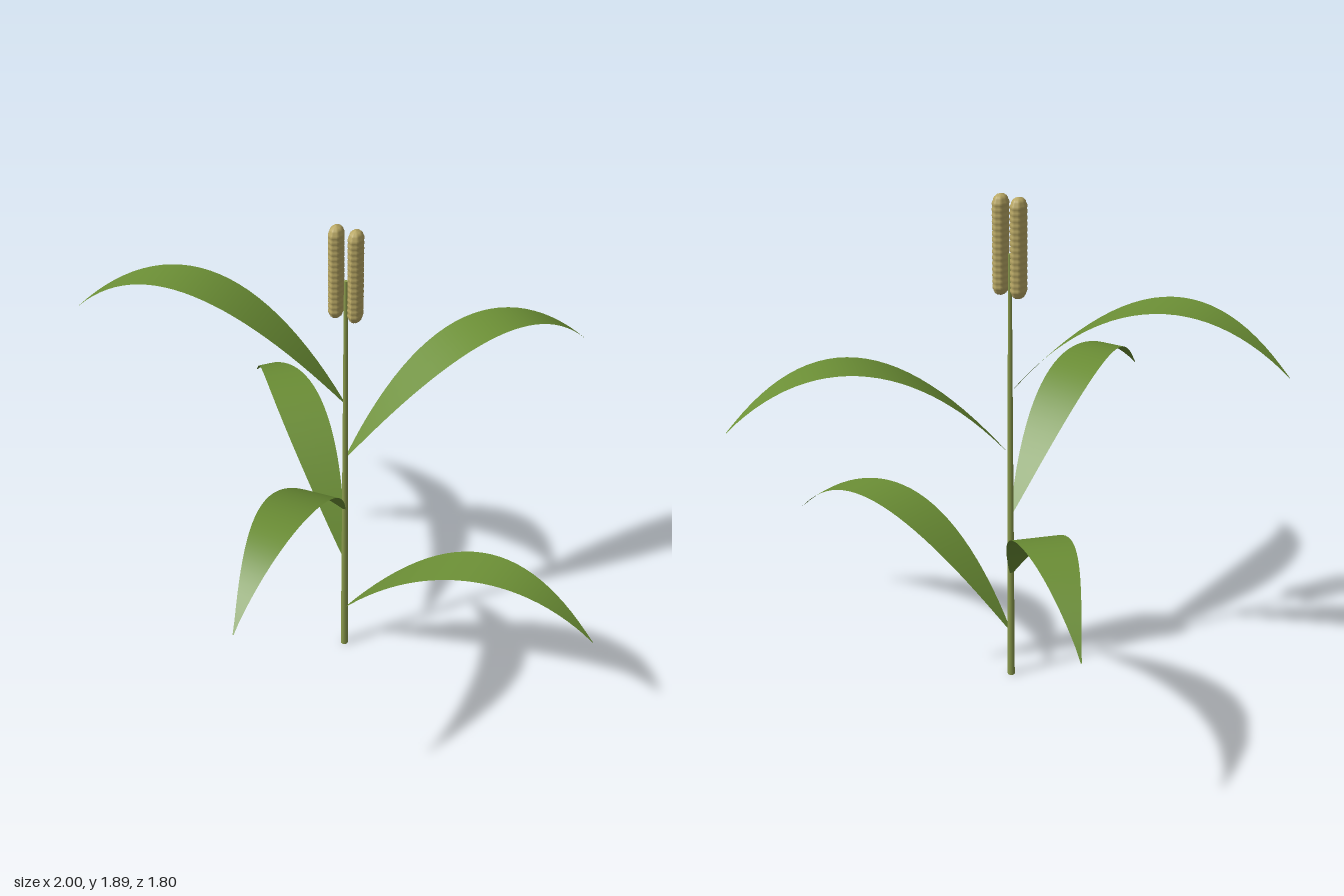
import * as THREE from 'three';

const leafGreen = new THREE.MeshStandardMaterial({ color: 0x6b8e35, side: THREE.DoubleSide });
leafGreen.name = 'leaf green';
const stemGreen = new THREE.MeshStandardMaterial({ color: 0x8a9a4c });
stemGreen.name = 'stem green';
const grainTan = new THREE.MeshStandardMaterial({ color: 0xb8a764 });
grainTan.name = 'grain tan';

const LENGTH = 1.0076;      // horizontal reach of a leaf
const HALF_WIDTH = 0.09;

// Flat ribbon swept along an arching curve, pointed at both ends
function leafGeometry() {
  const arch = new THREE.QuadraticBezierCurve3(
    new THREE.Vector3(0, 0, 0),
    new THREE.Vector3(0.55, 0.71, 0),
    new THREE.Vector3(LENGTH, 0.235, 0)
  );
  const geo = new THREE.PlaneGeometry(1, 1, 28, 2);
  const pos = geo.attributes.position;
  for (let i = 0; i < pos.count; i++) {
    const t = pos.getX(i) + 0.5;
    const p = arch.getPoint(t);
    const w = Math.max(0.002, HALF_WIDTH * Math.sin(Math.PI * Math.pow(t, 0.85)));
    pos.setXYZ(i, p.x, p.y, -pos.getY(i) * 2 * w);
  }
  geo.computeVertexNormals();
  return geo;
}

// Rounded ear with rows of grains bulging around and along it
function earGeometry() {
  const height = 0.365, rows = 17, columns = 8, steps = rows * 4, cap = 0.035;
  const profile = [];
  for (let i = 0; i <= steps; i++) {
    const y = (i / steps) * height;
    const end = Math.min(y, height - y, cap) / cap;
    const round = Math.sqrt(Math.max(0, 1 - (1 - end) ** 2));
    profile.push(new THREE.Vector2(Math.max(round, 0.0001), y));
  }
  const geo = new THREE.LatheGeometry(profile, columns * 4);
  const pos = geo.attributes.position;
  for (let i = 0; i < pos.count; i++) {
    const x = pos.getX(i), y = pos.getY(i), z = pos.getZ(i);
    const around = Math.abs(Math.cos((Math.atan2(x, z) * columns) / 2));
    const along = Math.abs(Math.sin((y / height) * rows * Math.PI));
    const bump = 0.86 + 0.07 * around + 0.07 * along;
    pos.setXYZ(i, x * 0.027 * bump, y, z * 0.036 * bump);
  }
  geo.computeVertexNormals();
  return geo;
}

export function createModel() {
  const group = new THREE.Group();
  group.name = 'cerealPlant';

  const plant = new THREE.Group();
  plant.name = 'plant';
  plant.position.set(-0.0076, 0, -0.102);
  group.add(plant);

  // Tapered stem
  const stem = new THREE.Mesh(new THREE.CylinderGeometry(0.007, 0.014, 1.68, 10), stemGreen);
  stem.name = 'stem';
  stem.position.y = 0.84;
  plant.add(stem);

  // Leaves climb the stem, each turned by the golden angle
  const leafGeo = leafGeometry();
  for (let i = 0; i < 5; i++) {
    const leaf = new THREE.Mesh(leafGeo, leafGreen);
    leaf.name = `leaf${i + 1}`;
    leaf.position.y = 0.183 + i * 0.245;
    leaf.rotation.y = THREE.MathUtils.degToRad(i * 137.5);
    plant.add(leaf);
  }

  // Pair of grain ears at the top
  const earGeo = earGeometry();
  for (const side of [-1, 1]) {
    const ear = new THREE.Mesh(earGeo, grainTan);
    ear.name = side > 0 ? 'leftEar' : 'rightEar';
    ear.position.set(side * 0.037, 1.525, 0);
    plant.add(ear);
  }

  return group;
}
